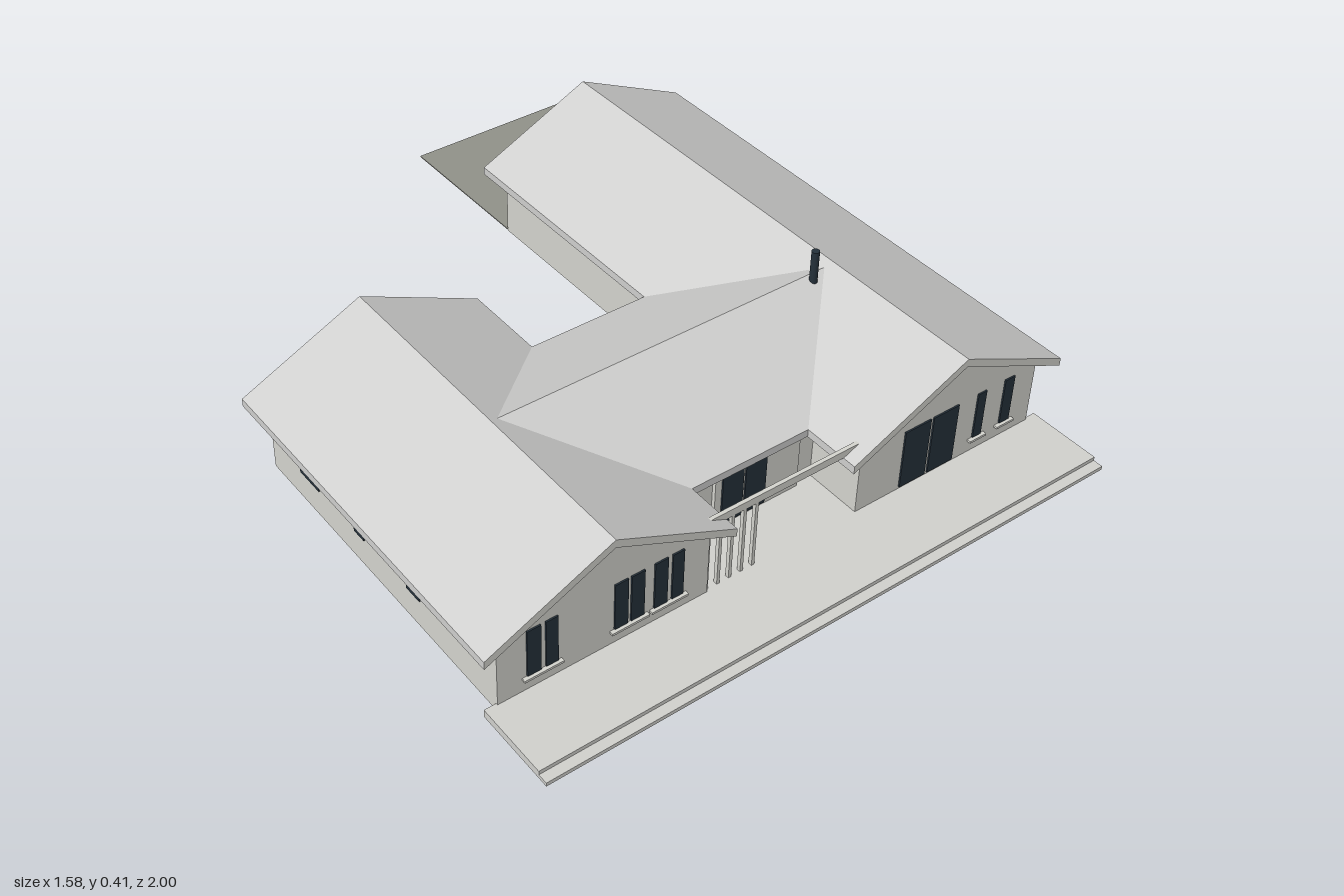
import * as THREE from 'three';

const material = (name, color, side = THREE.FrontSide) =>
  Object.assign(new THREE.MeshStandardMaterial({ color, side }), { name });

export function createModel() {
  const wall = material('wall', 0xd5d5cf);
  const roof = material('roof', 0xd0d0cf);
  const paving = material('paving', 0xd2d2ce);
  const asphalt = material('asphalt', 0x91928a);
  const glass = material('darkGlass', 0x25313b);
  const house = new THREE.Group();
  house.name = 'house';

  const add = (name, geometry, mat) => {
    const mesh = new THREE.Mesh(geometry, mat);
    mesh.name = name;
    house.add(mesh);
    return mesh;
  };
  // Box given by its minimum and maximum on each axis
  const box = (name, mat, x0, x1, y0, y1, z0, z1) => {
    const g = new THREE.BoxGeometry(x1 - x0, y1 - y0, z1 - z0);
    g.translate((x0 + x1) / 2, (y0 + y1) / 2, (z0 + z1) / 2);
    return add(name, g, mat);
  };
  const extrude = (points, depth) => new THREE.ExtrudeGeometry(
    new THREE.Shape(points.map(([x, y]) => new THREE.Vector2(x, y))),
    { depth, bevelEnabled: false });
  // Gabled roof section: eave half width, eave and ridge heights, thickness
  const chevron = (w, eave, ridge, t) =>
    [[-w, eave - t], [0, ridge - t], [w, eave - t], [w, eave], [0, ridge], [-w, eave]];

  // Two gabled wings
  const wing = (name, cx, back) => {
    const h = 0.2675;
    const body = extrude([[-h, 0], [h, 0], [h, 0.201], [0, 0.326], [-h, 0.201]], 0.79 - back);
    body.translate(cx, 0, back);
    add(name + 'WingWalls', body, wall);
    const top = extrude(chevron(0.315, 0.2, 0.347, 0.021), 0.82 - back + 0.033);
    top.translate(cx, 0, back - 0.033);
    add(name + 'WingRoof', top, [wall, roof]);
  };
  wing('right', -0.478, -0.112);
  wing('left', 0.476, -0.567);

  // Central block with a roof that runs into the wing roofs
  box('centralWalls', wall, -0.22, 0.22, 0, 0.193, 0.11, 0.64);
  box('entrySurround', wall, -0.08, 0.16, 0.02, 0.19, 0.64, 0.65);
  const mid = extrude(chevron(0.295, 0.2, 0.337, 0.02), 2);
  mid.translate(0, 0, -1);
  mid.rotateY(Math.PI / 2);
  const p = mid.attributes.position;
  for (let i = 0; i < p.count; i++) {
    p.setX(i, Math.sign(p.getX(i)) * (0.165 + 0.295 - Math.abs(p.getZ(i))));
  }
  mid.translate(0, 0, 0.375);
  mid.computeVertexNormals();
  add('centralRoof', mid, roof);

  // Paving, front step and driveway
  box('courtPaving', paving, -0.22, 0.22, 0, 0.02, -0.09, 0.8);
  box('frontTerrace', paving, -0.775, 0.775, 0, 0.02, 0.785, 0.975);
  box('frontStep', paving, -0.775, 0.775, 0, 0.01, 0.975, 1);
  box('driveway', asphalt, 0.21, 0.742, 0, 0.003, -1, -0.567);

  // Open entry beam and slatted screen
  box('entryBeam', wall, -0.21, 0.21, 0.2, 0.22, 0.775, 0.785);
  for (let i = 0; i < 5; i++) {
    const x = -0.208 + i * 0.032;
    box('screenSlat', wall, x - 0.004, x + 0.004, 0.02, 0.2, 0.775, 0.785);
  }

  // Window on a z-facing wall (dir is the outward sign)
  const paneZ = (name, z, dir, x0, x1, y0, y1) =>
    box(name, glass, x0, x1, y0, y1, z + Math.min(0, dir * 0.004), z + Math.max(0, dir * 0.004));
  // Window on an x-facing wall
  const paneX = (name, x, dir, z0, z1, y0, y1) =>
    box(name, glass, x + Math.min(0, dir * 0.004), x + Math.max(0, dir * 0.004), y0, y1, z0, z1);

  // Front windows and their sills
  [[-0.674, -0.64], [-0.628, -0.598], [-0.457, -0.423], [-0.415, -0.381],
    [-0.355, -0.321], [-0.309, -0.279], [0.56, 0.586], [0.645, 0.675]]
    .forEach(([a, b]) => paneZ('frontWindow', 0.79, 1, a, b, 0.06, 0.187));
  [[-0.685, -0.588], [-0.467, -0.371], [-0.365, -0.269], [0.548, 0.598], [0.633, 0.687]]
    .forEach(([a, b]) => box('windowSill', wall, a, b, 0.052, 0.058, 0.785, 0.8));
  [[0.338, 0.415], [0.423, 0.5]]
    .forEach(([a, b]) => paneZ('terraceDoor', 0.79, 1, a, b, 0.026, 0.187));
  [[-0.062, -0.003], [0.003, 0.062]]
    .forEach(([a, b]) => paneZ('entryDoor', 0.65, 1, a, b, 0.026, 0.175));

  // Side windows
  [[0.562, 0.626], [0.487, 0.552], [0.316, 0.353], [0.06, 0.102], [0.005, 0.048]]
    .forEach(([a, b]) => paneX('leftSideWindow', 0.7435, 1, a, b, 0.062, 0.175));
  [[0.02, 0.1], [0.25, 0.29], [0.46, 0.51]]
    .forEach(([a, b]) => paneX('rightSideWindow', -0.7455, -1, a, b, 0.08, 0.15));

  // Courtyard openings and back windows
  paneX('courtDoor', 0.2085, -1, 0.01, 0.06, 0.03, 0.165);
  paneZ('courtWindow', 0.11, -1, 0.11, 0.17, 0.08, 0.165);
  paneZ('courtGlassDoor', 0.11, -1, 0.03, 0.06, 0.03, 0.165);
  paneZ('courtGlassDoor', 0.11, -1, -0.06, -0.03, 0.03, 0.165);
  [-0.3, -0.625].forEach((x) => {
    paneZ('backWindow', -0.112, -1, x - 0.037, x + 0.037, 0.06, 0.18);
    box('backSill', wall, x - 0.045, x + 0.045, 0.052, 0.058, -0.122, -0.11);
  });

  // Garage door of horizontal panels inside a frame
  for (let i = 0; i < 5; i++) {
    const y = 0.006 + i * 0.034;
    paneZ('garageDoorPanel', -0.567, -1, 0.29, 0.67, y, y + 0.0325);
  }
  box('garageFrameTop', wall, 0.28, 0.68, 0.176, 0.186, -0.574, -0.567);
  [0.28, 0.67].forEach((x) => box('garageFrameSide', wall, x, x + 0.01, 0, 0.176, -0.574, -0.567));

  // Flue
  const flue = new THREE.CylinderGeometry(0.01, 0.01, 0.11, 12);
  flue.translate(0.408, 0.357, 0.39);
  add('flue', flue, glass);

  return house;
}
